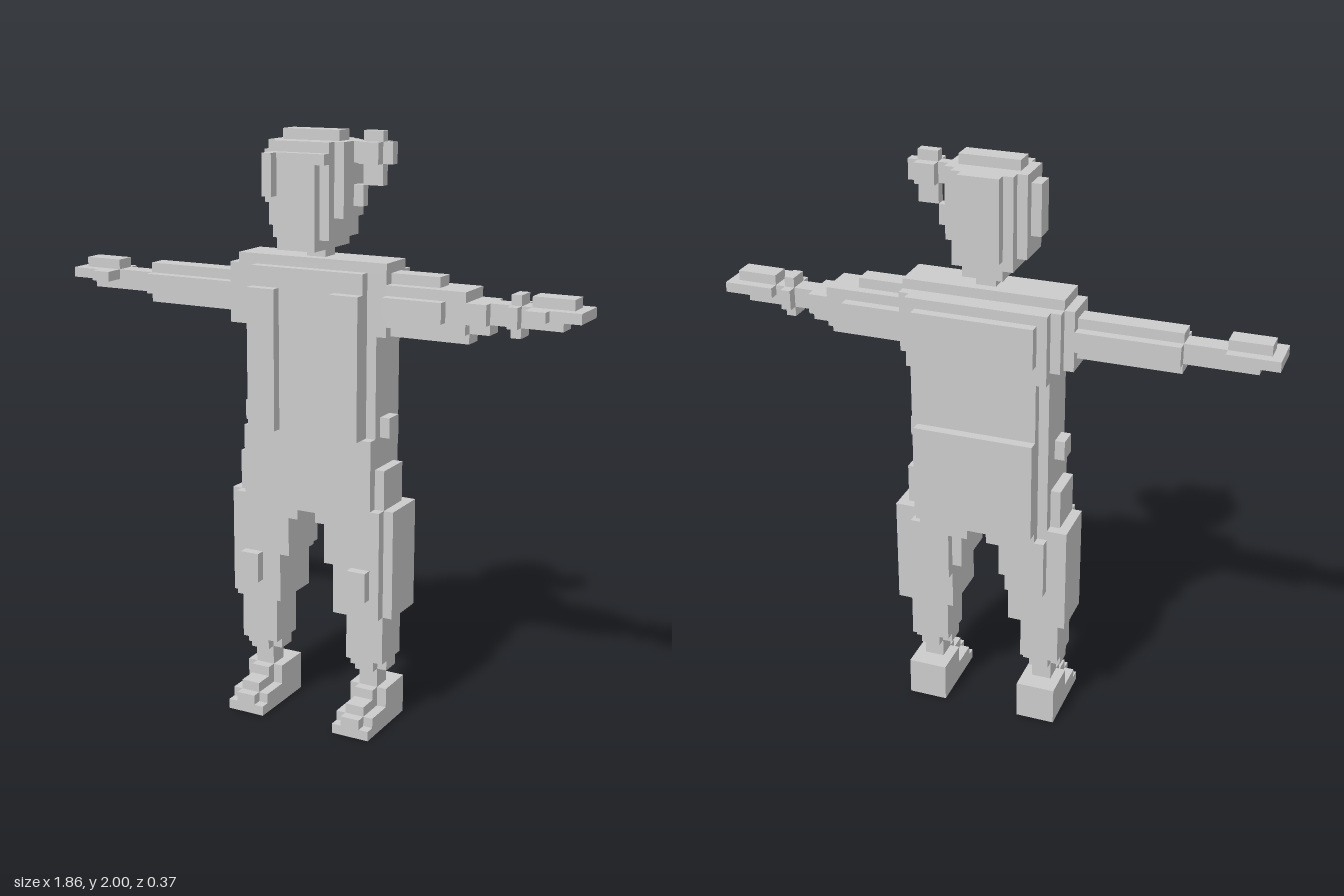
import * as THREE from 'three';

const U = 2 / 59; // size of one voxel
const MID = 0.5;  // the body's mirror line, in voxels

export function createModel() {
  const model = new THREE.Group();
  const material = new THREE.MeshStandardMaterial({ color: 0xcccccc, flatShading: true });

  // Each box is [x0, x1, y0, y1, z0, z1] in voxels
  function part(name, boxes) {
    const group = new THREE.Group();
    group.name = name;
    for (const [x0, x1, y0, y1, z0, z1] of boxes) {
      const mesh = new THREE.Mesh(new THREE.BoxGeometry((x1 - x0) * U, (y1 - y0) * U, (z1 - z0) * U), material);
      mesh.name = name + 'Block';
      mesh.position.set((x0 + x1) / 2 * U, (y0 + y1) / 2 * U, (z0 + z1) / 2 * U);
      group.add(mesh);
    }
    model.add(group);
  }
  // Mirror a box list about a vertical plane at x = c; s is the side
  const side = (boxes, s, c) => boxes.map(([a, b, ...r]) => (s > 0 ? [c + a, c + b, ...r] : [c - b, c - a, ...r]));

  // Head and neck
  part('head', [
    [-2.5, 3.5, 49, 57, -2.5, 3.5],
    [-1.5, 2.5, 48, 56, -2.5, 4.5],
  ]);
  part('neck', [[-0.5, 1.5, 46, 48.5, -1.5, 0.5]]);

  // Hair with a fringe, side locks and a side bun
  part('hair', [
    [-2.5, 3.5, 57, 58, -2.5, 3.5],
    [-3.5, 4.5, 56, 58, -1.5, 2.5],
    [-2.5, 3.5, 58, 59, -0.5, 1.5],
    [-1.5, 2.5, 50, 58, -3.5, -2.5],
    [-2.5, 3.5, 56, 57, 3.5, 4.5],
    [-2.5, -1.5, 53, 57, 3.5, 5.5],
    [-3.5, -2.5, 50, 57, -1.5, 2.5],
    [-4.5, -3.5, 52, 57, -0.5, 1.5],
    [3.5, 4.5, 51, 57, -1.5, 2.5],
    [4.5, 5.5, 52, 54, -0.5, 0.5],
  ]);
  part('bun', [
    [3.5, 5.5, 56, 58, -0.5, 0.5],
    [5.5, 7.5, 54, 59, -0.5, 0.5],
    [5.5, 7.5, 56, 58, -1.5, 1.5],
    [7.5, 8.5, 56, 58, -0.5, 0.5],
  ]);

  // Torso with front and back panels
  part('torso', [
    [-6.5, 7.5, 27, 46, -3.5, 1.5],
    [-5.5, 6.5, 27, 46, -4.5, 2.5],
    [-6.5, 7.5, 39, 46, -4.5, 1.5],
  ]);
  part('shoulders', [
    [-7.5, 8.5, 46, 47, -2.5, 1.5],
    [-7.5, 8.5, 40, 46, -3.5, 1.5],
    [-8.5, -7.5, 40, 46, -2.5, 1.5],
  ]);
  part('backPanels', [
    [-5.5, 6.5, 41, 45, -5.5, -4.5],
    [-5.5, 6.5, 23, 33, -5.5, -4.5],
  ]);
  part('hips', [
    [-6.5, 7.5, 22, 30, -3.5, 2.5],
    [-5.5, 6.5, 22, 30, -4.5, 2.5],
    [-7.5, 8.5, 22, 27, -2.5, 1.5],
  ]);

  // Mirrored front panels, hip tabs, legs and feet
  for (const [s, label] of [[1, 'left'], [-1, 'right']]) {
    part(label + 'FrontPanel', side([[3, 6, 30, 44, 2.5, 3.5]], s, MID));
    part(label + 'HipTab', side([[7, 8, 30, 32, -1.5, 0.5]], s, MID));
    part(label + 'Thigh', side([
      [2, 8, 17, 21, -3.5, 1.5],
      [3, 7, 12, 21, -3.5, 2.5],
      [3, 8, 12, 22, -2.5, 1.5],
      [2, 7, 17, 21, -3.5, 2.5],
      [1, 7, 21, 22, -4.5, 2.5],
      [3, 7, 16, 21, -4.5, -3.5],
      [8, 9, 12, 23, -3.5, 1.5],
      [7, 8, 12, 23, -3.5, 2.5],
    ], s, MID));
    part(label + 'KneePad', side([[5, 7, 14, 17, 2.5, 3.5]], s, MID));
    part(label + 'Shin', side([
      [4, 8, 7, 12, -2.5, 1.5],
      [5, 7, 6, 7, -2.5, 1.5],
      [4, 8, 6, 7, -1.5, 0.5],
      [5, 7, 4, 6, -1.5, 0.5],
    ], s, MID));
    part(label + 'Foot', side([
      [4, 8, 0, 1, -3.5, 4.5],
      [4, 8, 1, 2, -3.5, 3.5],
      [5, 7, 1, 2, 3.5, 4.5],
      [5, 7, 2, 3, -3.5, 3.5],
      [4, 8, 2, 4, -3.5, 0.5],
      [5, 7, 3, 4, -3.5, 1.5],
    ], s, MID));

    // Hands with thumbs pointing forward
    part(label + 'Hand', side([
      [22.5, 27.5, 43, 44, -2.5, 1.5],
      [22.5, 26.5, 44, 45, -1.5, 0.5],
      [22.5, 25.5, 42, 43, -1.5, 0.5],
      [22.5, 24.5, 43, 44, 1.5, 2.5],
    ], s, 0));
  }

  // Slim bare arm on the right
  part('rightArm', [
    [-18.5, -7.5, 41, 45, -1.5, 0.5],
    [-18.5, -7.5, 42, 44, -2.5, 1.5],
    [-22.5, -18.5, 42, 44, -1.5, 0.5],
  ]);

  // Sleeved arm with a bracelet on the left
  part('leftSleeve', [
    [8.5, 13.5, 40, 46, -1.5, 0.5],
    [8.5, 16.5, 40, 45, -1.5, 0.5],
    [8.5, 16.5, 41, 45, -2.5, 1.5],
    [8.5, 18.5, 41, 44, -1.5, 0.5],
    [8.5, 18.5, 42, 44, -2.5, 1.5],
    [8.5, 14.5, 42, 44, -3.5, 2.5],
  ]);
  part('leftWrist', [[18.5, 22.5, 42, 44, -1.5, 0.5]]);
  part('bracelet', [
    [20.5, 21.5, 41, 45, -1.5, 0.5],
    [20.5, 21.5, 42, 44, -2.5, 1.5],
  ]);

  return model;
}
